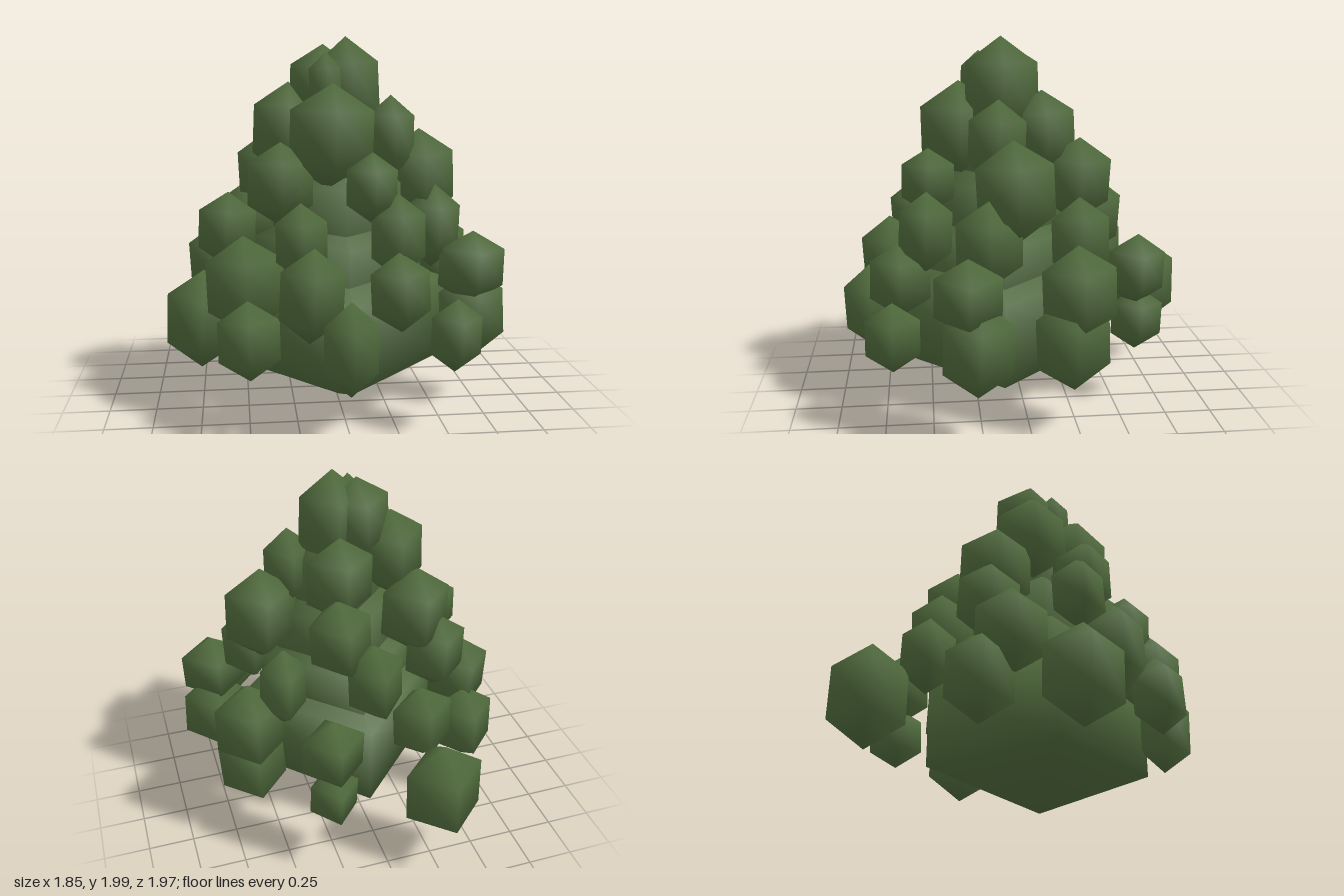
import * as THREE from 'three';

// Bush of smooth-shaded four-sided lumps stacked in tiers around a core.
export function createModel() {
  const bush = new THREE.Group();
  bush.name = 'bush';
  const leafGreen = new THREE.MeshStandardMaterial({ color: 0x4f6a3b });
  leafGreen.name = 'leafGreen';

  // Four sides, three bands: pointed top and bottom, upright middle
  const lump = new THREE.SphereGeometry(1, 4, 3);
  const ring = Math.sin(Math.PI / 3);

  // hx, hz are half widths of the upright band, hy the half height
  function addLump(name, [x, y, z, hx, hy, hz], tiltX = 0, tiltZ = 0) {
    const mesh = new THREE.Mesh(lump, leafGreen);
    mesh.name = name;
    mesh.position.set(x, y, z);
    mesh.scale.set(hx / ring, hy, hz / ring);
    mesh.rotation.set(tiltX, 0, tiltZ);
    bush.add(mesh);
  }

  // Inner core, narrowing upwards
  [
    [0.01, 0.455, 0.13, 0.58, 0.45, 0.6],
    [0.01, 0.72, 0.12, 0.46, 0.42, 0.46],
    [0.01, 1.0, 0.11, 0.36, 0.42, 0.36],
    [0.01, 1.32, 0.1, 0.25, 0.4, 0.25],
  ].forEach((c) => addLump('core', c));

  // Leaf clumps by tier: x, y, z, half width, half height, half depth
  const tiers = {
    bottomClump: [
      [-0.74, 0.495, 0.21, 0.19, 0.275, 0.2],
      [-0.5, 0.5, 0.65, 0.155, 0.205, 0.135],
      [-0.01, 0.495, 0.83, 0.135, 0.245, 0.15],
      [0.54, 0.51, 0.7, 0.13, 0.19, 0.14],
      [0.73, 0.5, 0.27, 0.18, 0.25, 0.18],
      [0.62, 0.48, -0.22, 0.18, 0.27, 0.19],
      [0.27, 0.47, -0.63, 0.13, 0.175, 0.14],
      [-0.29, 0.495, -0.79, 0.21, 0.285, 0.195],
      [-0.63, 0.49, -0.27, 0.17, 0.24, 0.17],
    ],
    lowerClump: [
      [-0.51, 0.73, 0.43, 0.2, 0.26, 0.16],
      [-0.19, 0.735, 0.71, 0.16, 0.245, 0.17],
      [0.26, 0.73, 0.66, 0.15, 0.205, 0.16],
      [0.71, 0.77, 0.32, 0.18, 0.2, 0.17],
      [0.62, 0.74, -0.25, 0.19, 0.255, 0.19],
      [0.27, 0.75, -0.62, 0.165, 0.2, 0.155],
      [-0.27, 0.74, -0.5, 0.165, 0.22, 0.14],
      [-0.64, 0.74, -0.12, 0.175, 0.23, 0.18],
    ],
    middleClump: [
      [-0.6, 0.99, 0.23, 0.15, 0.2, 0.135],
      [-0.23, 0.98, 0.57, 0.13, 0.2, 0.14],
      [0.27, 0.99, 0.52, 0.14, 0.22, 0.14],
      [0.52, 0.98, 0.2, 0.145, 0.23, 0.17],
      [0.44, 0.975, -0.28, 0.125, 0.225, 0.15],
      [-0.03, 0.99, -0.41, 0.15, 0.24, 0.17],
      [-0.45, 0.99, -0.21, 0.17, 0.22, 0.16],
    ],
    upperClump: [
      [-0.32, 1.24, 0.33, 0.17, 0.22, 0.15],
      [0.135, 1.24, 0.5, 0.13, 0.18, 0.14],
      [0.47, 1.24, 0.06, 0.19, 0.265, 0.2],
      [0.13, 1.23, -0.31, 0.165, 0.235, 0.18],
      [-0.34, 1.24, -0.16, 0.19, 0.25, 0.19],
    ],
    highClump: [
      [-0.05, 1.48, 0.32, 0.22, 0.28, 0.21],
      [0.29, 1.465, 0.14, 0.13, 0.225, 0.15],
      [0.08, 1.48, -0.13, 0.18, 0.235, 0.17],
      [-0.27, 1.5, 0.05, 0.18, 0.26, 0.19],
    ],
    topClump: [
      [0.06, 1.72, 0.1, 0.17, 0.28, 0.19],
      [-0.08, 1.73, 0.05, 0.17, 0.23, 0.17],
      [-0.07, 1.74, 0.22, 0.09, 0.18, 0.09],
    ],
  };

  // Slight alternating tilts keep the clumps from lining up
  let n = 0;
  for (const [name, clumps] of Object.entries(tiers)) {
    for (const c of clumps) {
      n++;
      addLump(name, c, 0.05 * Math.sin(n * 2.4), 0.05 * Math.cos(n * 3.7));
    }
  }
  return bush;
}
